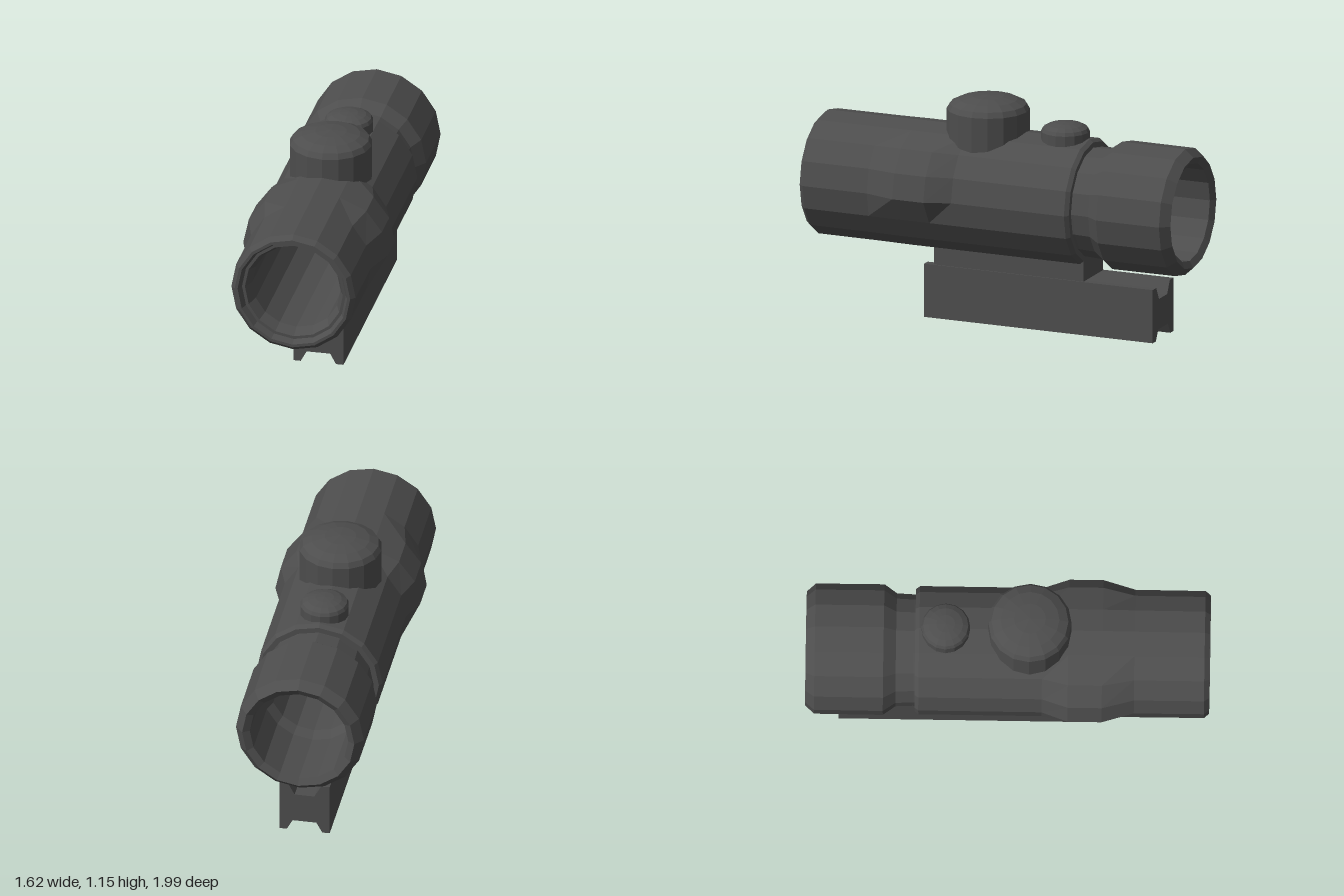
import * as THREE from 'three';

const material = new THREE.MeshStandardMaterial({ color: 0x4d4d4d, flatShading: true });
const SIDES = 16;
const AXIS_Y = 0.66;

function part(name, geometry, x = 0, y = 0, z = 0) {
  const mesh = new THREE.Mesh(geometry, material);
  mesh.name = name;
  mesh.position.set(x, y, z);
  return mesh;
}

const lathe = (pairs) =>
  new THREE.LatheGeometry(pairs.map(([r, h]) => new THREE.Vector2(r, h)), SIDES);

// Hollow tube along z: outer wall rear to front, then bore front to rear.
function tubeGeometry() {
  const geometry = lathe([
    [0.25, -1.0], [0.285, -1.02], [0.325, -0.975], [0.326, -0.632], // rear ring
    [0.282, -0.57], [0.278, -0.485], [0.278, -0.475], [0.305, -0.475], [0.32, -0.455], // groove
    [0.32, 0.16], [0.32, 0.29], [0.32, 0.46], [0.318, 0.62], // body
    [0.317, 0.97], [0.295, 0.995], [0.28, 0.995], [0.265, 0.96], [0.25, 0.96], // front rim
    [0.225, 0.9], [0.225, -0.6], [0.25, -0.65], [0.25, -1.0], // bore
  ]);
  geometry.rotateX(Math.PI / 2);

  // Swell both upper flanks of the body outwards.
  const p = geometry.attributes.position;
  for (let i = 0; i < p.count; i++) {
    const x = p.getX(i), y = p.getY(i), z = p.getZ(i);
    const r = Math.hypot(x, y);
    const elevation = Math.asin(y / r);
    if (r > 0.3 && z > 0.25 && z < 0.5 && elevation > -0.1 && elevation < 0.9) {
      p.setX(i, x * 1.15);
      p.setY(i, y * 1.04);
    }
  }
  return geometry;
}

// Upright knob with a shallow domed cap.
function knobGeometry(radius, bottom, shoulder, top) {
  const profile = [[0, bottom], [radius, bottom], [radius, shoulder]];
  const steps = 4;
  for (let i = 1; i <= steps; i++) {
    const a = (i / steps) * Math.PI / 2;
    profile.push([i === steps ? 0 : radius * Math.cos(a), shoulder + (top - shoulder) * Math.sin(a)]);
  }
  return lathe(profile);
}

// Mounting block with a trapezoid channel above and below.
function baseGeometry(rear, front) {
  const half = [[0.09, 0], [0.128, 0], [0.128, 0.275], [0.085, 0.275], [0.05, 0.21]];
  const outline = [[0.06, 0.055], ...half];
  const mirrored = outline.map(([x, y]) => [-x, y]).reverse();
  const shape = new THREE.Shape([...outline, ...mirrored].map(([x, y]) => new THREE.Vector2(x, y)));
  const geometry = new THREE.ExtrudeGeometry(shape, { depth: front - rear, bevelEnabled: false });
  return geometry.translate(0, 0, rear);
}

export function createModel() {
  const sight = new THREE.Group();
  sight.name = 'opticalSight';
  sight.add(
    part('tube', tubeGeometry(), 0, AXIS_Y, 0),
    part('largeKnob', knobGeometry(0.208, 0.89, 1.08, 1.15), 0, 0, 0.097),
    part('smallKnob', knobGeometry(0.122, 0.92, 1.01, 1.055), 0, 0, -0.323),
    part('mountNeck', new THREE.BoxGeometry(0.242, 0.115, 0.815), 0, 0.3325, -0.0675),
    part('mountBase', baseGeometry(-0.855, 0.39)),
  );
  // The whole sight stands turned towards its left.
  sight.rotation.y = THREE.MathUtils.degToRad(34.2);

  const model = new THREE.Group();
  model.name = 'model';
  model.add(sight);
  return model;
}
